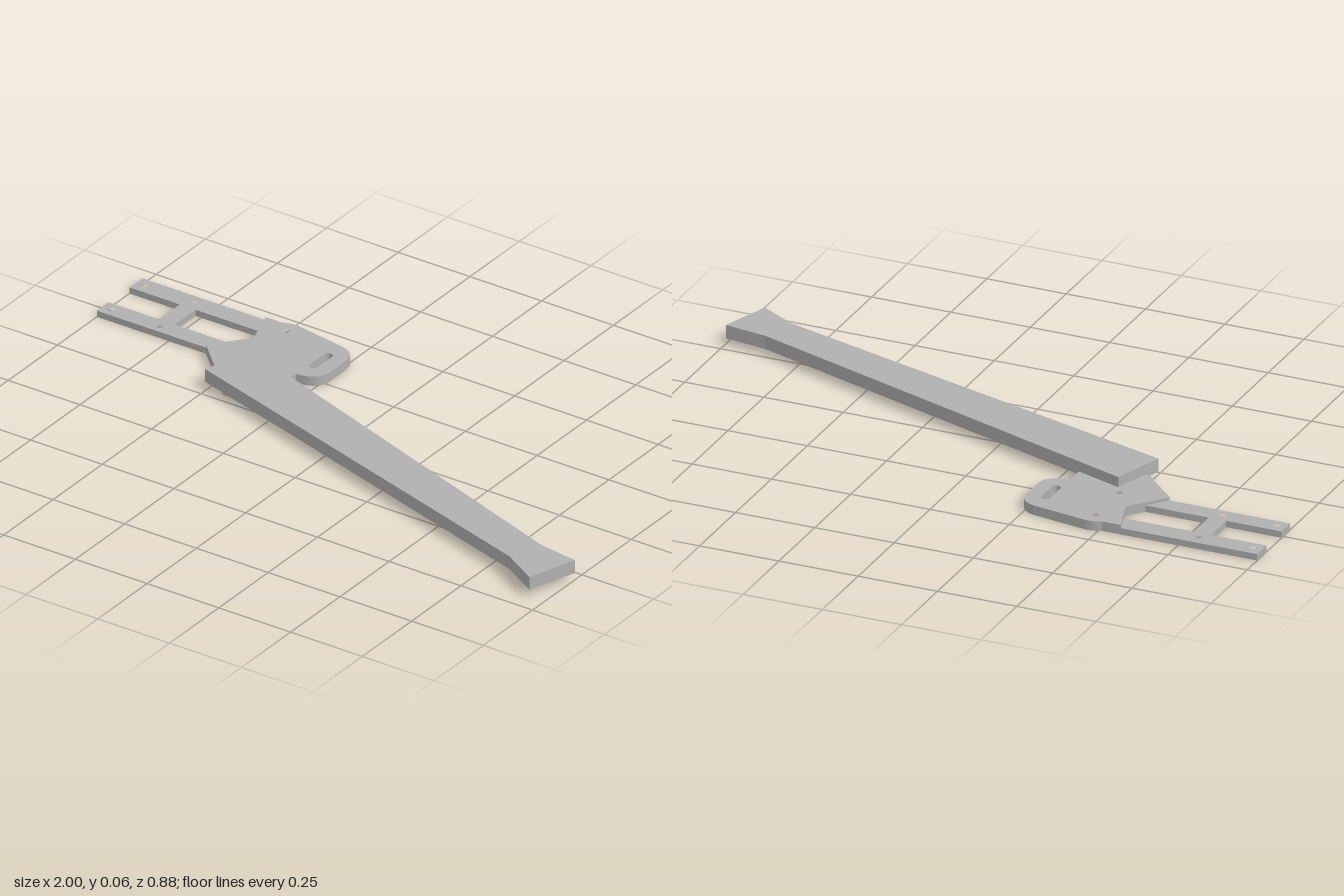
import * as THREE from 'three';

const metal = new THREE.MeshStandardMaterial({ color: 0xb0b0b0 });
metal.name = 'light grey';

// Plan outlines are given as [x, z]; a third value rounds that corner.
function tracePlan(path, points) {
  const n = points.length;
  points.forEach(([x, z, r = 0], i) => {
    const corner = new THREE.Vector2(x, -z);
    const towards = (p) => new THREE.Vector2(p[0], -p[1]).sub(corner).setLength(r).add(corner);
    const start = r ? towards(points[(i + n - 1) % n]) : corner;
    if (i === 0) path.moveTo(start.x, start.y);
    else path.lineTo(start.x, start.y);
    if (r) {
      const end = towards(points[(i + 1) % n]);
      path.quadraticCurveTo(corner.x, corner.y, end.x, end.y);
    }
  });
  path.closePath();
  return path;
}

function roundHole(x, z, r = 0.01) {
  return new THREE.Path().absarc(x, -z, r, 0, Math.PI * 2, true);
}

function slotHole(x, z, halfLength, r) {
  const path = new THREE.Path();
  path.absarc(x, -z + halfLength - r, r, 0, Math.PI, false);
  path.absarc(x, -z - halfLength + r, r, Math.PI, Math.PI * 2, false);
  path.closePath();
  return path;
}

// Flat slab raised from a plan outline
function slab(name, points, bottom, top, holes = []) {
  const shape = tracePlan(new THREE.Shape(), points);
  shape.holes.push(...holes);
  const geometry = new THREE.ExtrudeGeometry(shape, {
    depth: top - bottom, bevelEnabled: false, curveSegments: 12,
  });
  geometry.rotateX(-Math.PI / 2);
  geometry.translate(0, bottom, 0);
  const mesh = new THREE.Mesh(geometry, metal);
  mesh.name = name;
  return mesh;
}

export function createModel() {
  const model = new THREE.Group();
  model.name = 'leverAssembly';

  // Thin H-shaped frame: two rails joined by a crossbar, with four screw holes
  const frameHoles = [];
  for (const x of [-0.97, -0.8]) for (const z of [-0.395, -0.23]) frameHoles.push(roundHole(x, z));
  model.add(slab('mountingFrame', [
    [-1, -0.43], [-0.57, -0.43], [-0.549, -0.365], [-0.77, -0.365],
    [-0.77, -0.26], [-0.571, -0.26], [-0.62, -0.2], [-1, -0.2],
    [-1, -0.26], [-0.825, -0.26], [-0.825, -0.365], [-1, -0.365],
  ], 0, 0.02, frameHoles));

  // Thicker pivot plate with a notched edge, rounded lobe and adjusting slot
  model.add(slab('pivotPlate', [
    [-0.57, -0.43], [-0.51, -0.43], [-0.48, -0.443, 0.02], [-0.235, -0.403, 0.06],
    [-0.235, -0.22, 0.055], [-0.31, -0.205], [-0.31, -0.075], [-0.415, -0.03],
    [-0.445, -0.03], [-0.62, -0.2], [-0.53, -0.31],
  ], 0, 0.03, [
    roundHole(-0.475, -0.395), roundHole(-0.475, -0.23), slotHole(-0.295, -0.31, 0.05, 0.014),
  ]));

  // Long tapering arm with a flared end
  model.add(slab('leverArm', [
    [-0.457, -0.198], [0.865, 0.262], [0.998, 0.282],
    [0.945, 0.437], [0.83, 0.37], [-0.51, -0.035],
  ], 0.02, 0.062));

  return model;
}
